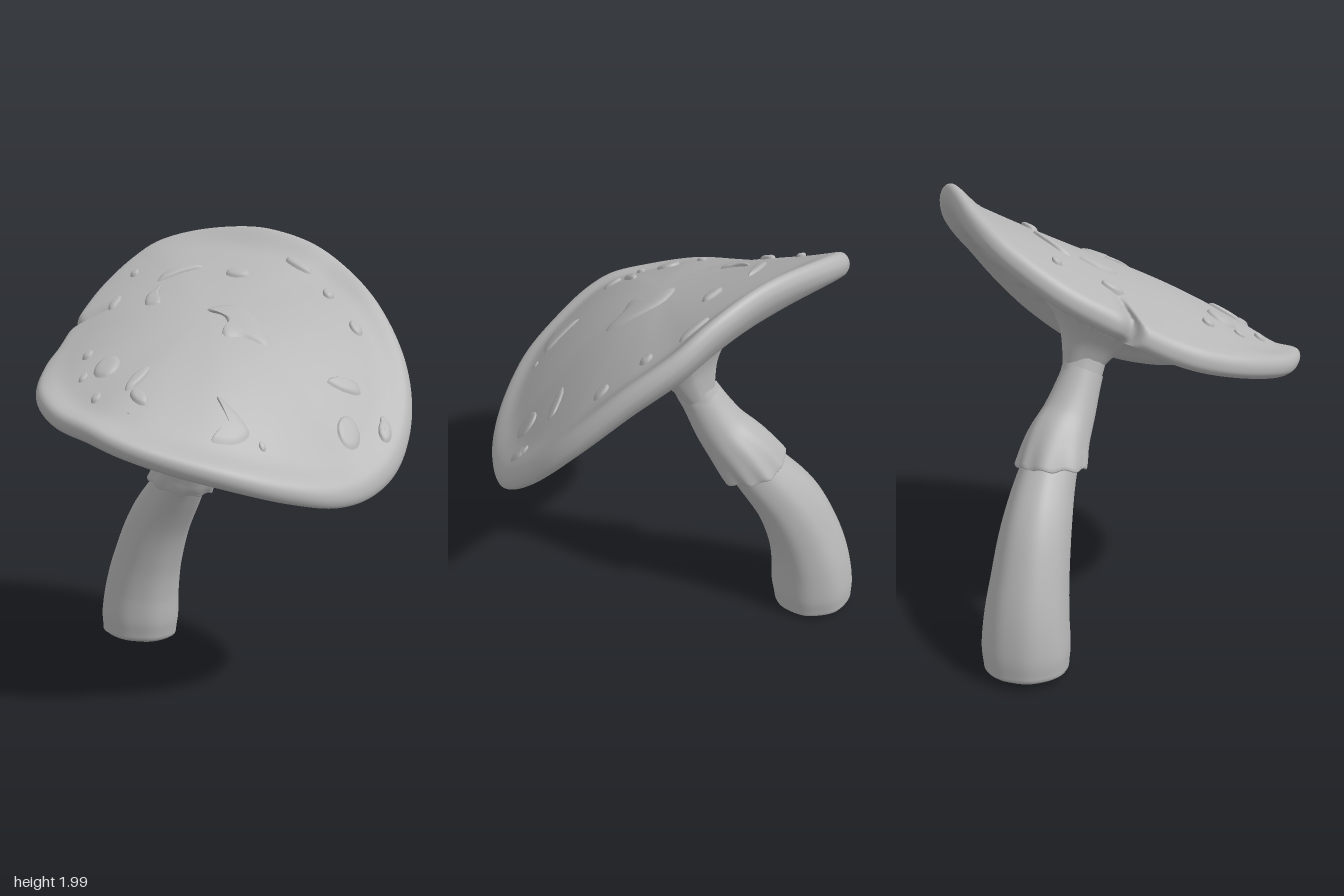
import * as THREE from 'three';

const V = (x, y, z) => new THREE.Vector3(x, y, z);
const S = THREE.MathUtils.smoothstep;
const grey = new THREE.MeshStandardMaterial({ color: 0xb6b6b6 });
grey.name = 'warm grey';

// Smooth surface closed around i, open along k; fn(i, k) returns a point
function loft(name, n, rows, fn) {
  const pos = [], idx = [];
  for (let k = 0; k <= rows; k++) {
    for (let i = 0; i < n; i++) {
      const p = fn(i / n, k / rows);
      pos.push(p.x, p.y, p.z);
      if (k === rows) continue;
      const a = k * n + i, b = k * n + (i + 1) % n;
      idx.push(a, b, a + n, b, b + n, a + n);
    }
  }
  const g = new THREE.BufferGeometry();
  g.setAttribute('position', new THREE.Float32BufferAttribute(pos, 3));
  g.setIndex(idx);
  g.computeVertexNormals();
  const m = new THREE.Mesh(g, grey);
  m.name = name;
  return m;
}

// Point on a circle around an axis
function ring(c, axis, r, a) {
  const T = axis.clone().normalize();
  const u = V(1, 0, 0).addScaledVector(T, -T.x).normalize();
  const w = T.clone().cross(u);
  return c.clone().addScaledVector(u, r * Math.cos(a)).addScaledVector(w, r * Math.sin(a));
}

// Wavy saddle-shaped cap rim
const rim = new THREE.CatmullRomCurve3([
  [-0.8, 1.215, 0], [-0.77, 1.25, -0.2], [-0.655, 1.33, -0.4], [-0.45, 1.42, -0.55], [-0.3, 1.49, -0.605],
  [-0.12, 1.6, -0.66], [0.1, 1.73, -0.705], [0.3, 1.86, -0.68], [0.42, 1.935, -0.62], [0.52, 1.97, -0.5],
  [0.62, 1.97, -0.3], [0.695, 1.945, -0.12], [0.755, 1.885, 0.05], [0.785, 1.79, 0.2], [0.755, 1.635, 0.4],
  [0.66, 1.4, 0.605], [0.51, 1.185, 0.73], [0.3, 1.01, 0.79], [0.1, 0.93, 0.785], [-0.1, 0.915, 0.745],
  [-0.3, 0.955, 0.655], [-0.515, 1.03, 0.5], [-0.68, 1.105, 0.3], [-0.775, 1.17, 0.13],
].map(p => V(...p)), true);
const N = 360, FINE = 8;
const rimPts = Array.from({ length: N * FINE }, (_, i) => rim.getPoint(i / (N * FINE)));
const slope = p => 0.35 * p.x - 0.3 * p.z;
// Domed saddle with a lip turned up everywhere but the back
const topY = (R, t) => 1.63 + slope(R) * t + (R.y - 1.63 - slope(R)) * t * t
  + 0.05 * S(t, 0.82, 1) * S(R.z, -0.7, -0.15);

// Height of the cap's upper surface above a ground position
function capHeight(x, z) {
  const len = Math.hypot(x, z) || 1e-6;
  let best = rimPts[0], dot = -2;
  for (const R of rimPts) {
    const d = (R.x * x + R.z * z) / (Math.hypot(R.x, R.z) * len);
    if (d > dot) { dot = d; best = R; }
  }
  return topY(best, len / Math.hypot(best.x, best.z));
}

// Cap section: x is the share of the radius, y the depth below the top surface
const capProfile = new THREE.SplineCurve([
  [0.001, 0], [0.15, 0], [0.3, 0], [0.5, 0], [0.7, 0], [0.85, 0], [0.94, 0], [0.975, 0.004], [0.994, 0.018],
  [1, 0.04], [0.994, 0.066], [0.965, 0.096], [0.91, 0.116], [0.85, 0.124], [0.78, 0.13], [0.7, 0.14], [0.6, 0.158],
  [0.5, 0.18], [0.4, 0.206], [0.3, 0.25], [0.22, 0.305], [0.16, 0.365], [0.12, 0.43], [0.085, 0.5],
].map(p => new THREE.Vector2(...p)));
const depthDir = V(0.32, -0.91, -0.25);
const notchAngle = Math.atan2(-0.64, -0.15);

function capPoint(u, v) {
  const { x: t, y: d } = capProfile.getPoint(v);
  const R = rimPts[Math.round(u * N) % N * FINE];
  const a = Math.atan2(R.z, R.x);
  // Split in the back edge
  const notch = Math.exp(-(((a - notchAngle - 0.5 * (1 - t)) / 0.042) ** 2)) * S(t, 0.68, 0.95);
  const tt = t * (1 - 0.085 * notch);
  const p = V(R.x * tt, topY(R, t) - 0.02 * notch, R.z * tt);
  // Branching gill ridges underneath
  let depth = d;
  if (v > 0.5) {
    const env = S(t, 0.2, 0.36) * (1 - S(t, 0.55 + 0.1 * Math.sin(5 * a), 0.84));
    const wave = Math.sin(32 * a + 1.2 * Math.sin(7 * a) + 1.8 * Math.sin(10 * t + 5 * a));
    const broad = Math.sin(17 * a + 2 * Math.sin(9 * t + 3 * a));
    depth += env * (0.012 * wave + 0.008 * broad);
  }
  return p.addScaledVector(depthDir, depth);
}

// Raised wart following the cap surface
function wart(outline, height) {
  const n = 32, c = V(0, 0, 0);
  const curve = new THREE.CatmullRomCurve3(outline.map(([x, z]) => V(x, 0, z)), true);
  for (let i = 0; i < n; i++) c.addScaledVector(curve.getPoint(i / n), 1 / n);
  return loft('wart', n, 8, (u, v) => {
    const p = c.clone().lerp(curve.getPoint(u), Math.max(v, 0.01));
    p.y = capHeight(p.x, p.z) - 0.008 + (height + 0.008) * Math.sqrt(1 - v ** 4);
    return p;
  });
}

function ellipse([x, z, rx, rz, turn = 0]) {
  return Array.from({ length: 10 }, (_, i) => {
    const a = i * Math.PI / 5, p = rx * Math.cos(a), q = rz * Math.sin(a);
    return [x + p * Math.cos(turn) - q * Math.sin(turn), z + p * Math.sin(turn) + q * Math.cos(turn)];
  });
}

export function createModel() {
  const model = new THREE.Group();
  model.name = 'mushroom';
  model.add(loft('cap', N, 92, capPoint));

  // Leaning stem, thick at the foot
  const path = new THREE.CatmullRomCurve3([
    [0.31, 0.03, -0.655], [0.31, 0.12, -0.648], [0.308, 0.25, -0.632], [0.3, 0.4, -0.592], [0.285, 0.6, -0.507],
    [0.255, 0.8, -0.366], [0.19, 1.0, -0.22], [0.135, 1.2, -0.115], [0.1, 1.36, -0.06],
  ].map(p => V(...p)));
  const radii = new THREE.SplineCurve(
    [0.18, 0.188, 0.18, 0.166, 0.149, 0.122, 0.09, 0.089, 0.09].map((r, i) => new THREE.Vector2(i, r)));
  model.add(loft('stem', 64, 52, (u, v) => {
    const s = Math.max(0, (v * 52 - 4) / 48), a = u * Math.PI * 2;
    const foot = [0.01, 0.6, 0.9, 0.97][Math.round(v * 52)] ?? 1;
    const ripple = 1 + 0.015 * Math.sin(3 * a + 6 * s) + 0.008 * Math.sin(8 * a);
    const axis = path.getTangent(s);
    const p = ring(path.getPoint(s), axis, radii.getPoint(s).y * foot * ripple, a);
    return p.addScaledVector(axis, foot < 0.95 ? -0.014 : 0);
  }));

  // Flared skirt with a scalloped hem
  const skirtPath = new THREE.CatmullRomCurve3(
    [[0.24, 0.825, -0.345], [0.225, 0.9, -0.295], [0.185, 1.01, -0.215], [0.135, 1.18, -0.125]].map(p => V(...p)));
  const skirtRadii = new THREE.SplineCurve(
    [0.152, 0.14, 0.114, 0.09].map((r, i) => new THREE.Vector2(i, r)));
  model.add(loft('skirt', 96, 28, (u, v) => {
    const s = Math.max(0, (v * 28 - 4) / 24), a = u * Math.PI * 2;
    const hem = [0.68, 0.85, 0.95, 0.985][Math.round(v * 28)] ?? 1;
    const axis = V(0, 1, 0.28).lerp(skirtPath.getTangent(s), Math.min(1, s * 2));
    const fold = (1 - s) ** 2 * (0.03 * Math.sin(9 * a + Math.sin(2 * a)) + 0.025 * Math.sin(5 * a + 1));
    const p = ring(skirtPath.getPoint(s), axis, skirtRadii.getPoint(s).y * hem * (1 + fold), a);
    p.y += (1 - s) ** 4 * 0.006 * Math.sin(9 * a + 1.5) + (hem < 0.9 ? 0.015 : hem < 1 ? -0.006 : 0);
    return p;
  }));

  // Warts scattered on the cap
  const warts = new THREE.Group();
  warts.name = 'warts';
  const irregular = [
    [[0.057, -0.055], [0.168, 0.03], [0.16, 0.175], [0.084, 0.275], [0.018, 0.177], [-0.044, 0.13],
      [-0.035, 0.1], [0.035, 0.08], [0.065, 0.03], [0.05, -0.03]],
    [[0.13, -0.39], [0.18, -0.4], [0.29, -0.32], [0.32, -0.26], [0.22, -0.32]],
    [[-0.04, -0.31], [0.02, -0.36], [0.12, -0.35], [0.05, -0.31], [0, -0.26]],
    [[0.2, 0.48], [0.26, 0.49], [0.345, 0.555], [0.33, 0.58], [0.25, 0.54]],
    [[-0.3, 0.27], [-0.285, 0.34], [-0.29, 0.44], [-0.38, 0.43], [-0.46, 0.36], [-0.35, 0.38]],
  ];
  const round = [
    [0.17, -0.55, 0.022, 0.022], [-0.04, -0.49, 0.048, 0.026, -0.2], [0.36, -0.1, 0.03, 0.06, -0.6],
    [0.615, 0.06, 0.026, 0.07, -0.25], [0.585, 0.24, 0.027, 0.027], [0.55, 0.41, 0.03, 0.033],
    [0.15, 0.63, 0.064, 0.046], [0.32, 0.705, 0.045, 0.03, -0.4], [0.345, 0.685, 0.02, 0.02],
    [-0.41, -0.325, 0.027, 0.025], [-0.535, -0.24, 0.025, 0.018], [-0.455, -0.18, 0.064, 0.055],
    [-0.615, -0.1, 0.025, 0.022], [-0.535, 0.06, 0.027, 0.046], [-0.465, -0.005, 0.078, 0.025, 0.05],
    [-0.28, 0.49, 0.015, 0.015], [-0.61, 0.07, 0.007, 0.006],
  ];
  irregular.forEach(o => warts.add(wart(o, 0.016)));
  round.forEach(e => warts.add(wart(ellipse(e), Math.min(0.018, e[3] * 0.8))));
  model.add(warts);
  return model;
}
